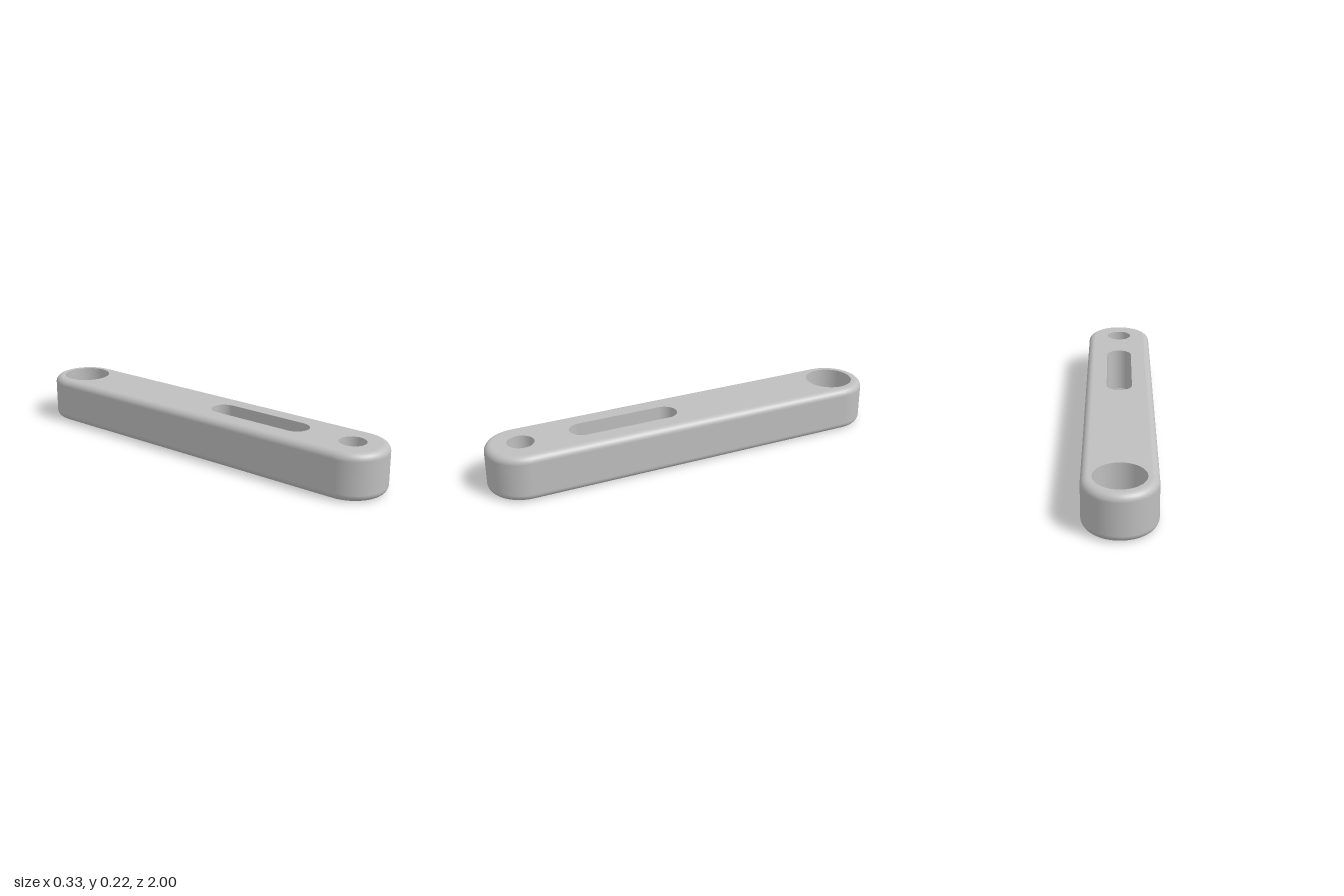
import * as THREE from 'three';

const HEIGHT = 0.223, RADIUS = 0.1667, FILLET = 0.034, STRAIGHT = 1 - RADIUS;
const FLOOR = 0.035; // height of the counterbore ledge
const ARC = 32;      // segments per half circle

// Rounded slot outline in x, z; half = 0 gives a circle
function outline({ r, half = 0, z = 0 }) {
  const points = [];
  for (const side of [0, 1]) {
    const shift = side ? -half : half;
    const count = half ? ARC + 1 : ARC;
    for (let j = 0; j < count; j++) {
      const t = Math.PI * (side + j / ARC);
      points.push({ x: r * Math.cos(t), z: z + shift + r * Math.sin(t), nx: Math.cos(t), nz: Math.sin(t) });
    }
  }
  return points;
}

// Smooth wall through outlines; rising levels face out, falling levels face in
function wall(levels) {
  const position = [], normal = [], index = [];
  let n = 0;
  for (const level of levels) {
    const points = outline(level);
    n = points.length;
    for (const p of points) {
      position.push(p.x, level.y, p.z);
      normal.push(p.nx * level.nr, level.ny, p.nz * level.nr);
    }
  }
  for (let i = 0; i < levels.length - 1; i++) {
    for (let j = 0; j < n; j++) {
      const a = i * n + j, b = i * n + (j + 1) % n;
      index.push(a, a + n, b, b, a + n, b + n);
    }
  }
  const geometry = new THREE.BufferGeometry();
  geometry.setAttribute('position', new THREE.Float32BufferAttribute(position, 3));
  geometry.setAttribute('normal', new THREE.Float32BufferAttribute(normal, 3));
  geometry.setIndex(index);
  return geometry;
}

// Straight inward wall of an opening
function bore(hole, y0, y1) {
  return wall([{ ...hole, y: y1, nr: -1, ny: 0 }, { ...hole, y: y0, nr: -1, ny: 0 }]);
}

// Flat face with openings, facing up (1) or down (-1)
function face(outer, holes, y, up) {
  const toPoints = (o) => outline(o).map((p) => new THREE.Vector2(p.x, -up * p.z));
  const shape = new THREE.Shape(toPoints(outer));
  shape.holes = holes.map((h) => new THREE.Path(toPoints(h)));
  return new THREE.ShapeGeometry(shape).rotateX(-up * Math.PI / 2).translate(0, y, 0);
}

export function createModel() {
  const group = new THREE.Group();
  const grey = new THREE.MeshStandardMaterial({ color: 0xbfbfbf });
  grey.name = 'grey metal';
  const add = (name, geometry) => {
    const mesh = new THREE.Mesh(geometry, grey);
    mesh.name = name;
    group.add(mesh);
  };

  // Openings along the bar
  const counterbore = { r: 0.1165, z: -0.833 };
  const backHole = { r: 0.0665, z: -0.833 };
  const slot = { r: 0.0635, half: 0.209, z: 0.323 };
  const frontHole = { r: 0.0635, z: 0.833 };

  // Outer side with rounded top and bottom edges
  const levels = [];
  for (const top of [0, 1]) {
    for (let i = 0; i <= 10; i++) {
      const a = (Math.PI / 2) * (i / 10 - (top ? 0 : 1));
      levels.push({
        r: RADIUS - FILLET + FILLET * Math.cos(a), half: STRAIGHT,
        y: (top ? HEIGHT - FILLET : FILLET) + FILLET * Math.sin(a),
        nr: Math.cos(a), ny: Math.sin(a),
      });
    }
  }
  add('barSide', wall(levels));

  // Flat top and bottom
  const flat = { r: RADIUS - FILLET, half: STRAIGHT };
  add('barTop', face(flat, [counterbore, slot, frontHole], HEIGHT, 1));
  add('barBottom', face(flat, [backHole, slot, frontHole], 0, -1));

  // Inner walls
  add('slotWall', bore(slot, 0, HEIGHT));
  add('frontHoleWall', bore(frontHole, 0, HEIGHT));
  add('counterboreWall', bore(counterbore, FLOOR, HEIGHT));
  add('counterboreLedge', face(counterbore, [backHole], FLOOR, 1));
  add('backHoleWall', bore(backHole, 0, FLOOR));

  return group;
}
